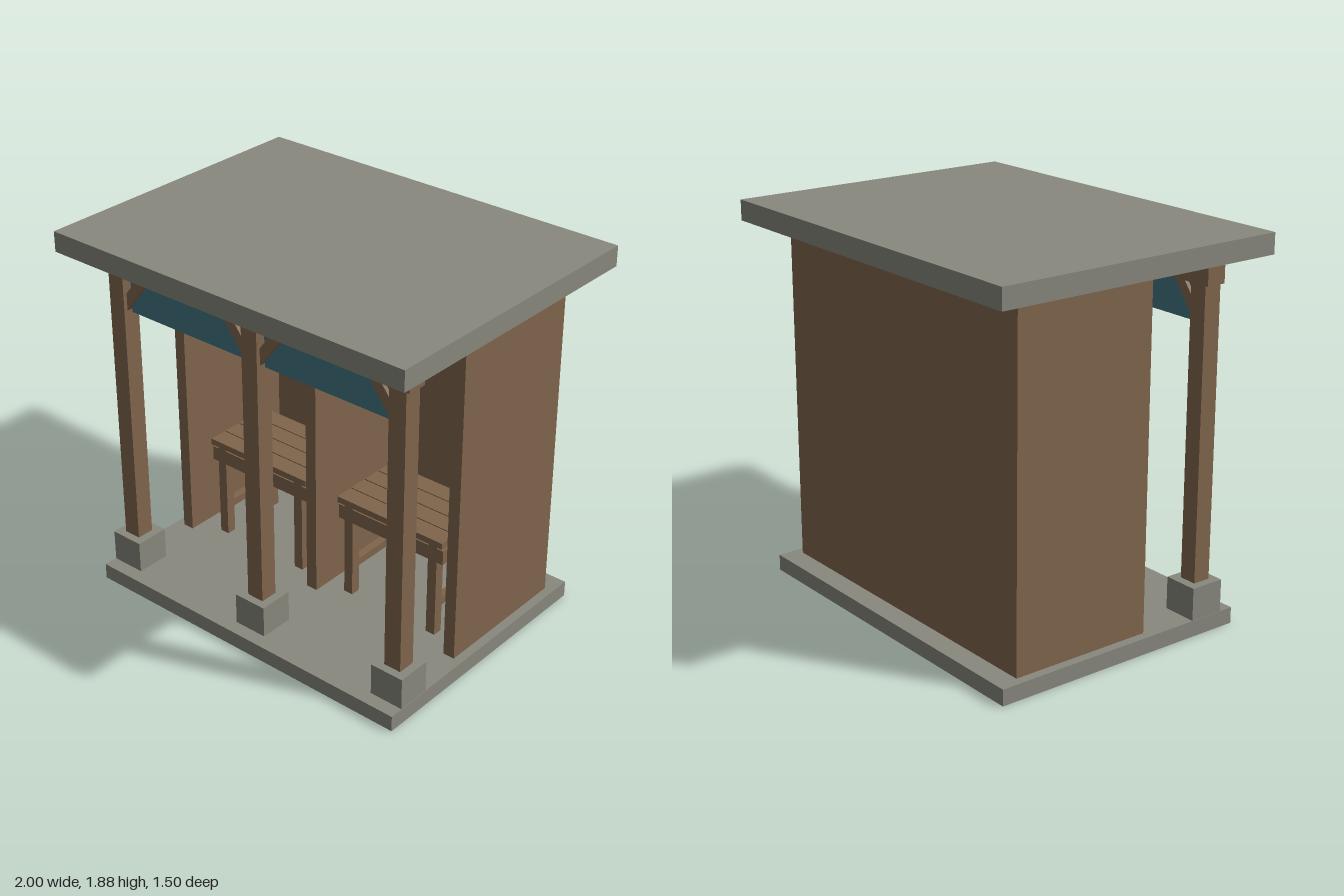
import * as THREE from 'three';

export function createModel() {
  const model = new THREE.Group();
  model.name = 'shelter';

  const wood = new THREE.MeshStandardMaterial({ color: 0x80664c });
  wood.name = 'brown wood';
  const stone = new THREE.MeshStandardMaterial({ color: 0x88887e });
  stone.name = 'grey stone';
  const cloth = new THREE.MeshStandardMaterial({ color: 0x417482 });
  cloth.name = 'teal cloth';

  // Box given by its lower and upper limits on each axis
  const box = (name, material, [x0, x1], [y0, y1], [z0, z1], parent = model) => {
    const mesh = new THREE.Mesh(new THREE.BoxGeometry(x1 - x0, y1 - y0, z1 - z0), material);
    mesh.position.set((x0 + x1) / 2, (y0 + y1) / 2, (z0 + z1) / 2);
    mesh.name = name;
    parent.add(mesh);
    return mesh;
  };

  // Slabs
  box('floor', stone, [-0.91, 0.91], [0, 0.08], [-0.675, 0.675]);
  box('roof', stone, [-1, 1], [1.78, 1.88], [-0.752, 0.752]);

  // Walls: back, two sides and a middle partition
  box('backWall', wood, [-0.865, 0.865], [0.08, 1.78], [-0.567, -0.507]);
  for (const x of [-0.835, 0, 0.835]) {
    box('sideWall', wood, [x - 0.03, x + 0.03], [0.08, 1.78], [-0.507, 0.165]);
  }

  // Front posts on stone plinths, with the beam above
  for (const x of [-0.82, 0, 0.82]) {
    box('plinth', stone, [x - 0.0875, x + 0.0875], [0.08, 0.24], [0.43, 0.605]);
    box('post', wood, [x - 0.045, x + 0.045], [0.24, 1.655], [0.475, 0.565]);
  }
  box('beam', wood, [-0.885, 0.885], [1.655, 1.78], [0.47, 0.57]);

  // Diagonal brace outline, measured from the post face
  const braceShape = new THREE.Shape([
    new THREE.Vector2(0, 1.48), new THREE.Vector2(0.135, 1.655),
    new THREE.Vector2(0.07, 1.655), new THREE.Vector2(0, 1.565),
  ]);
  const braceGeometry = new THREE.ExtrudeGeometry(braceShape, { depth: 0.05, bevelEnabled: false });
  braceGeometry.translate(0, 0, -0.025);

  // Slatted table on four legs
  const addTable = (cx) => {
    const table = new THREE.Group();
    table.name = 'table';
    table.position.set(cx, 0, -0.11);
    model.add(table);
    for (let i = 0; i < 4; i++) {
      const z = -0.2 + i * 0.1015;
      box('plank', wood, [-0.31, 0.31], [0.58, 0.612], [z, z + 0.0955], table);
    }
    for (const s of [-1, 1]) {
      box('apron', wood, [-0.31, 0.31], [0.49, 0.565], [s * 0.165 - 0.025, s * 0.165 + 0.025], table);
      const x = s * 0.25;
      box('batten', wood, [x - 0.025, x + 0.025], [0.565, 0.58], [-0.19, 0.19], table);
      box('stretcher', wood, [x - 0.02, x + 0.02], [0.22, 0.26], [-0.14, 0.14], table);
      for (const t of [-1, 1]) {
        const z = t * 0.165;
        box('leg', wood, [x - 0.025, x + 0.025], [0.08, 0.49], [z - 0.025, z + 0.025], table);
      }
    }
  };

  // Two bays, each with a valance, a pair of braces and a table
  for (const cx of [-0.41, 0.41]) {
    box('valance', cloth, [cx - 0.355, cx + 0.355], [1.468, 1.655], [0.515, 0.525]);
    for (const s of [-1, 1]) {
      const brace = new THREE.Mesh(braceGeometry, wood);
      brace.name = 'brace';
      brace.position.set(cx + s * 0.365, 0, 0.52);
      if (s > 0) brace.rotation.y = Math.PI;
      model.add(brace);
    }
    addTable(cx);
  }

  return model;
}
